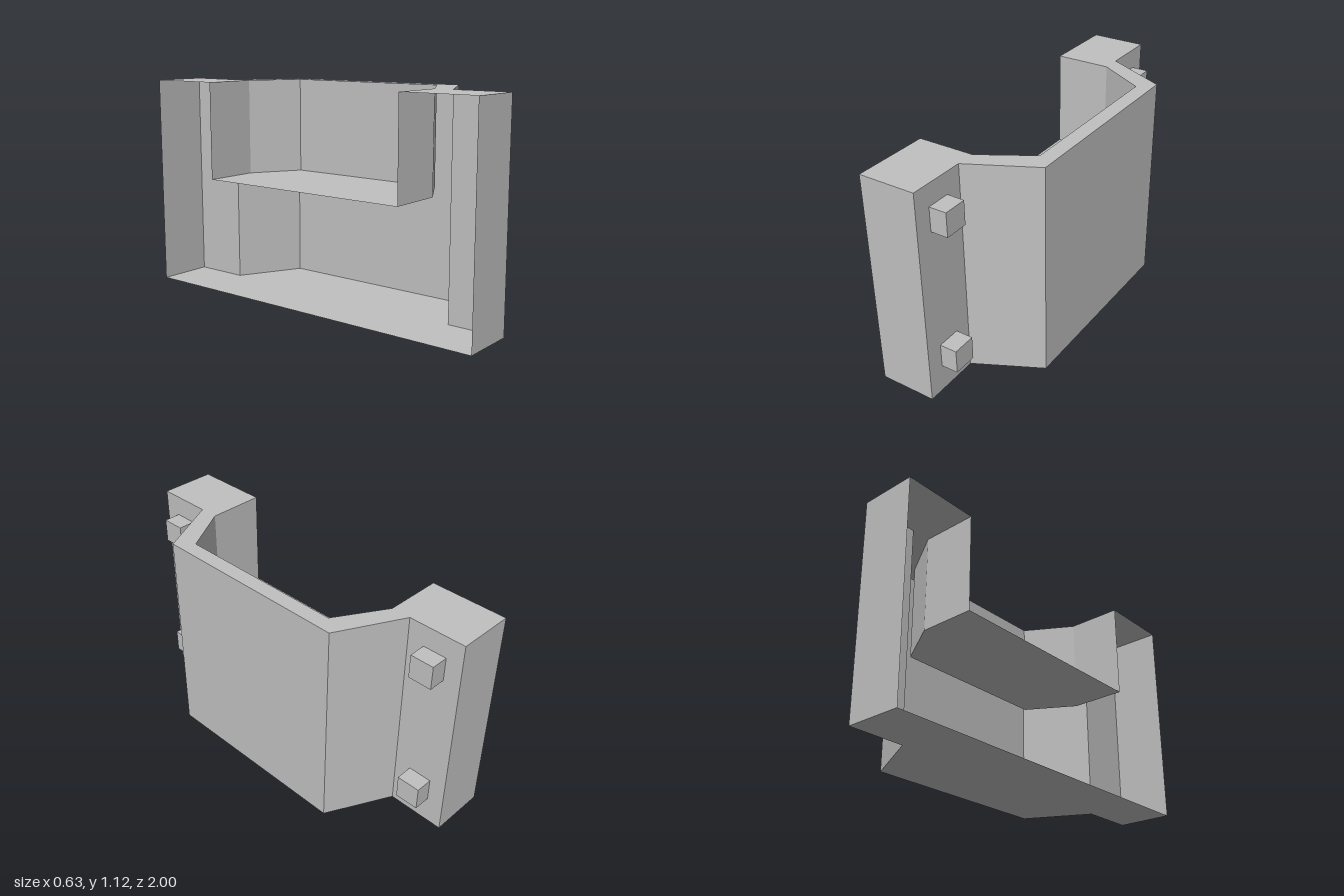
import * as THREE from 'three';

const HEIGHT = 1.125, SHELF_Y = 0.61, BACK_X = -0.315, FLANGE_X = -0.02;

// Plan outlines as [x, z], running from the +z end to the -z end; the back (-x) side is open
const mirrorZ = (half) => [...half, ...half.map(([x, z]) => [x, -z]).reverse()];
const OUTER = mirrorZ([[BACK_X, 1], [FLANGE_X, 1], [FLANGE_X, 0.7], [0.315, 0.53]]);
const INNER = mirrorZ([[BACK_X, 0.6], [FLANGE_X, 0.6], [0.235, 0.45]]);

// Upright sheet following an open outline, flat shaded on each panel
function wallGeometry(outline, y0, y1) {
  const positions = [];
  for (let i = 0; i < outline.length - 1; i++) {
    const [ax, az] = outline[i], [bx, bz] = outline[i + 1];
    positions.push(ax, y0, az, bx, y0, bz, bx, y1, bz);
    positions.push(ax, y0, az, bx, y1, bz, ax, y1, az);
  }
  const geometry = new THREE.BufferGeometry();
  geometry.setAttribute('position', new THREE.Float32BufferAttribute(positions, 3));
  geometry.computeVertexNormals();
  return geometry;
}

// Level sheet filling an outline, facing up or down
function plateGeometry(outline, y, up = true) {
  const sign = up ? -1 : 1;
  const shape = new THREE.Shape(outline.map(([x, z]) => new THREE.Vector2(x, sign * z)));
  const geometry = new THREE.ShapeGeometry(shape);
  geometry.rotateX(sign * Math.PI / 2);
  geometry.translate(0, y, 0);
  return geometry;
}

export function createModel() {
  const model = new THREE.Group();
  model.name = 'wallBracket';
  const grey = new THREE.MeshStandardMaterial({ color: 0xc0c0c0, side: THREE.DoubleSide });
  grey.name = 'grey';

  const add = (name, geometry) => {
    const mesh = new THREE.Mesh(geometry, grey);
    mesh.name = name;
    model.add(mesh);
    return mesh;
  };

  // Thin outer shell with a full floor
  add('outerWall', wallGeometry(OUTER, 0, HEIGHT));
  add('floor', plateGeometry(OUTER, 0, false));

  // Upper pocket: inner wall standing on a shelf, joined to the shell by the rim
  add('innerWall', wallGeometry([...INNER].reverse(), SHELF_Y, HEIGHT));
  add('shelf', plateGeometry(INNER, SHELF_Y));
  add('topRim', plateGeometry([...OUTER, ...[...INNER].reverse()], HEIGHT));

  // Four square pegs on the flanges
  const peg = new THREE.BoxGeometry(0.09, 0.124, 0.124);
  for (const z of [-0.85, 0.85]) {
    for (const y of [0.205, 0.953]) {
      add('peg', peg).position.set(FLANGE_X + 0.045, y, z);
    }
  }
  return model;
}
